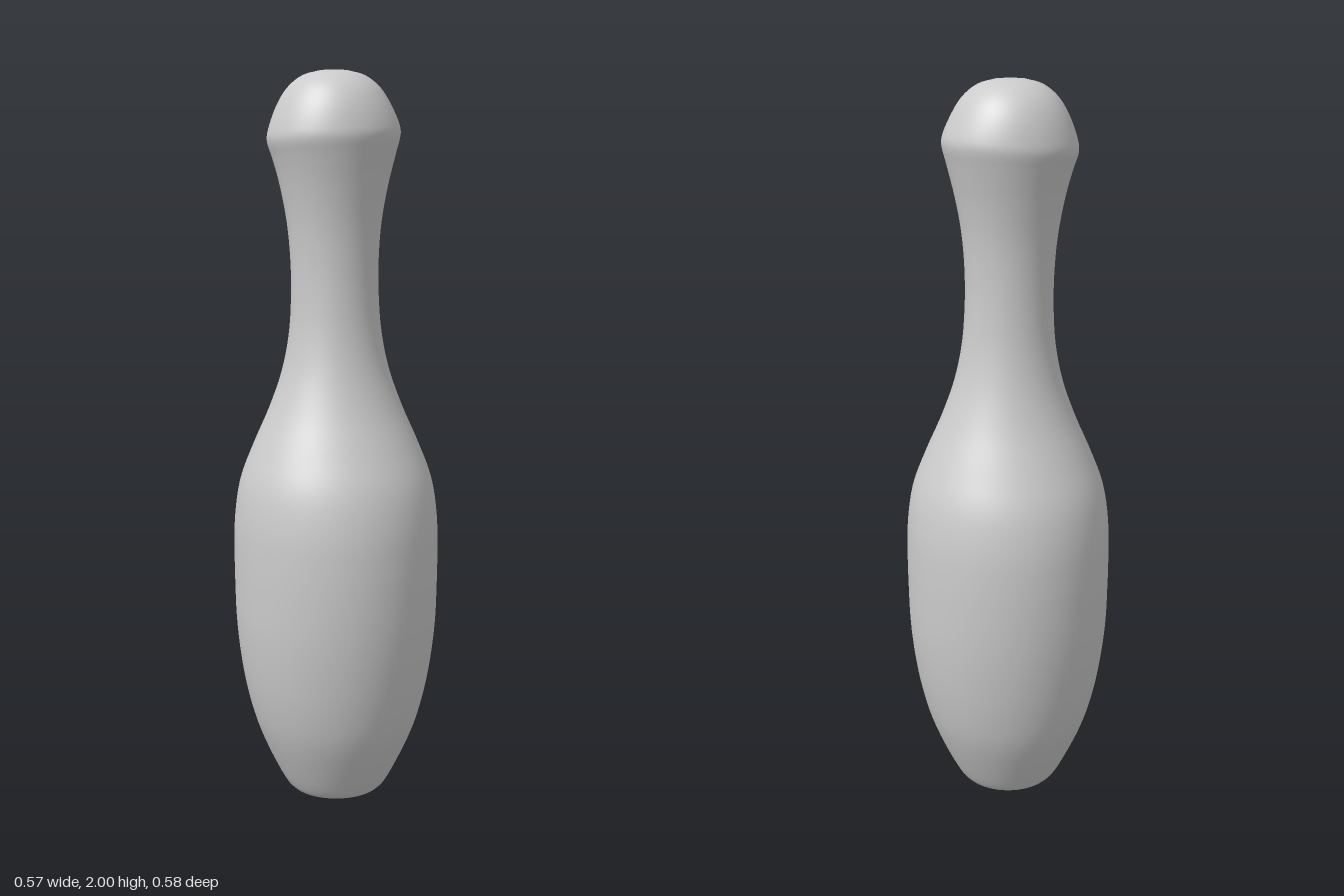
import * as THREE from 'three';
import { mergeVertices } from 'three/addons/utils/BufferGeometryUtils.js';

// Cross-sections of the pin: half width in x, height, half depth in z
const SECTIONS = [
  [0.128, 0.004, 0.128], [0.143, 0.02, 0.143], [0.185, 0.1, 0.186], [0.226, 0.2, 0.23],
  [0.253, 0.3, 0.256], [0.27, 0.4, 0.273], [0.28, 0.5, 0.284], [0.283, 0.6, 0.289],
  [0.284, 0.7, 0.289], [0.281, 0.8, 0.282], [0.266, 0.9, 0.26], [0.229, 1.0, 0.216],
  [0.185, 1.1, 0.171], [0.149, 1.2, 0.139], [0.128, 1.3, 0.121], [0.12, 1.4, 0.114],
  [0.12, 1.5, 0.114], [0.128, 1.6, 0.121], [0.146, 1.7, 0.138], [0.167, 1.78, 0.157],
  [0.179, 1.822, 0.167], [0.178, 1.845, 0.166], [0.155, 1.905, 0.15], [0.125, 1.953, 0.123],
  [0.085, 1.985, 0.084], [0.04, 1.998, 0.04],
];

function createPin(material) {
  const curve = new THREE.CatmullRomCurve3(SECTIONS.map((s) => new THREE.Vector3(...s)));
  const rings = curve.getPoints((SECTIONS.length - 1) * 4);
  // Flat base and closed crown
  rings.unshift(new THREE.Vector3(0, 0, 0), new THREE.Vector3(0.118, 0, 0.118));
  rings.push(new THREE.Vector3(0, 2, 0));

  const geometry = new THREE.LatheGeometry(rings.map((p) => new THREE.Vector2(p.x, p.y)), 72);
  const pos = geometry.attributes.position;
  for (let i = 0; i < pos.count; i++) {
    const ring = rings[i % rings.length];
    const x = pos.getX(i);
    // Oval section, head shifted slightly to one side with a tilted shoulder
    const shift = -0.006 * THREE.MathUtils.smoothstep(ring.y, 1.0, 1.8);
    const tilt = 0.05 * x * Math.exp(-(((ring.y - 1.83) / 0.06) ** 2));
    const depth = ring.x > 0 ? ring.z / ring.x : 1;
    pos.setXYZ(i, x + shift, ring.y + tilt, pos.getZ(i) * depth);
  }

  // Weld the seam so that the shading is continuous
  geometry.deleteAttribute('uv');
  geometry.deleteAttribute('normal');
  const welded = mergeVertices(geometry, 1e-5);
  welded.computeVertexNormals();

  const pin = new THREE.Mesh(welded, material);
  pin.name = 'bowlingPin';
  return pin;
}

export function createModel() {
  const group = new THREE.Group();
  group.name = 'pin';
  group.add(createPin(new THREE.MeshStandardMaterial({ color: 0xcccccc })));
  return group;
}
